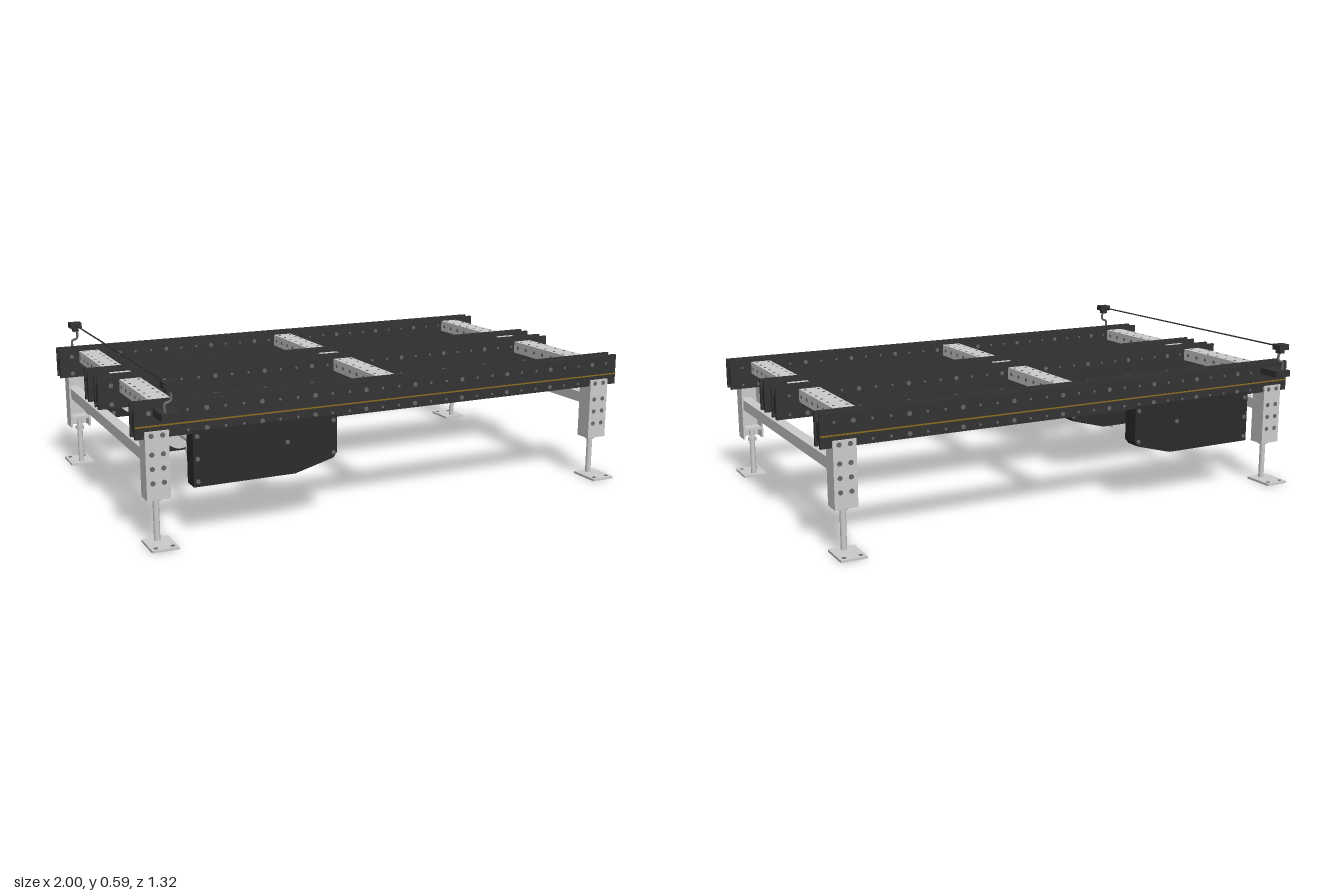
import * as THREE from 'three';
import { mergeGeometries } from 'three/addons/utils/BufferGeometryUtils.js';
import { RoundedBoxGeometry } from 'three/addons/geometries/RoundedBoxGeometry.js';

const mat = (color) => new THREE.MeshStandardMaterial({ color });
const grey = mat(0xcccccc), black = mat(0x333333), guardBlack = mat(0x2b2b2b);
const chainGrey = mat(0x707070), red = mat(0xe03522), yellow = mat(0x8a6a1c), hole = mat(0x666666);

// Box given by its min and max on each axis
const span = (x0, x1, y0, y1, z0, z1) =>
  new THREE.BoxGeometry(x1 - x0, y1 - y0, z1 - z0).translate((x0 + x1) / 2, (y0 + y1) / 2, (z0 + z1) / 2);

// Cylinder along an axis, centred on a point
function rod(axis, r, len, x, y, z, sides = 32) {
  const g = new THREE.CylinderGeometry(r, r, len, sides);
  if (axis === 'x') g.rotateZ(Math.PI / 2);
  if (axis === 'z') g.rotateX(Math.PI / 2);
  return g.translate(x, y, z);
}

function add(parent, name, geometry, material) {
  const g = Array.isArray(geometry) ? mergeGeometries(geometry) : geometry;
  const mesh = new THREE.Mesh(g, material);
  mesh.name = name;
  parent.add(mesh);
  return mesh;
}

function group(parent, name) {
  const g = new THREE.Group();
  g.name = name;
  parent.add(g);
  return g;
}

const RAILS = [-0.538, -0.07, 0.07, 0.538];
const HALF = 0.03; // half width of a rail
const SHAFT = { x: -0.705, y: 0.275 };

function rail(parent, z, outward) {
  const g = group(parent, 'rail');
  // Side plates joined by a web, leaving a chain groove above and below
  const parts = [-1, 1].map((s) => span(-1, 1, 0.38, 0.5, z + s * 0.024 - 0.006, z + s * 0.024 + 0.006));
  parts.push(span(-0.995, 0.995, 0.4, 0.465, z - 0.019, z + 0.019));
  add(g, 'railProfile', parts, black);
  add(g, 'chain', span(-0.99, 0.99, 0.465, 0.487, z - 0.014, z + 0.014), chainGrey);
  // Bolt rows on both sides
  const bolts = [];
  for (const s of [-1, 1]) {
    for (let i = 0; i < 29; i++) {
      const x = -0.95 + i * (1.9 / 28);
      const r = i % 3 === 0 ? 0.009 : 0.005;
      bolts.push(rod('z', r, 0.004, x, 0.467, z + s * HALF, 8));
      bolts.push(rod('z', r, 0.004, x, 0.396, z + s * HALF, 8));
    }
  }
  add(g, 'railBolts', bolts, hole);
  if (outward) {
    const zo = z + outward * HALF;
    add(g, 'edgeStrip', span(-1, 1, 0.42, 0.425, zo - 0.002, zo + 0.002), yellow);
  }
}

function driveGuard(parent, z) {
  const g = group(parent, 'driveGuard');
  const outline = [[-0.8, 0.39], [-0.8, 0.19], [-0.42, 0.19], [-0.27, 0.23], [-0.255, 0.25], [-0.255, 0.39]];
  const shape = new THREE.Shape(outline.map(([x, y]) => new THREE.Vector2(x, y)));
  const depth = 2 * HALF + 0.006;
  const geo = new THREE.ExtrudeGeometry(shape, { depth, bevelEnabled: false });
  add(g, 'guardCase', geo.translate(0, 0, z - depth / 2), guardBlack);
  const bolts = [];
  for (const [x, y] of [[-0.785, 0.37], [-0.785, 0.29], [-0.785, 0.21], [-0.45, 0.31], [-0.27, 0.37], [-0.27, 0.25]]) {
    bolts.push(rod('z', 0.008, depth + 0.008, x, y, z, 10));
  }
  add(g, 'guardBolts', bolts, hole);
}

function leg(parent, x, s) {
  const g = group(parent, 'leg');
  const zi = 0.507, zo = 0.57;
  const wall = 0.007, w = 0.042;
  // Channel open towards the middle, with a taller outer plate
  add(g, 'legChannel', [
    span(-w, -w + wall, 0.165, 0.38, zi, zo),
    span(w - wall, w, 0.165, 0.38, zi, zo),
    span(-w, w, 0.165, 0.405, zo - 0.002, zo + 0.004),
    span(-w + wall, w - wall, 0.165, 0.38, zo - wall, zo - 0.002),
    span(-w + wall, w - wall, 0.2, 0.21, zi, zo - wall),
  ], grey);
  const dots = [];
  for (const dx of [-0.02, 0.02]) {
    for (const y of [0.225, 0.275, 0.325, 0.39]) dots.push(rod('z', 0.009, 0.002, dx, y, zo + 0.004, 12));
  }
  add(g, 'legHoles', dots, hole);
  add(g, 'footSpindle', rod('y', 0.011, 0.2, 0, 0.105, 0.533, 20), grey);
  add(g, 'footNut', rod('y', 0.018, 0.014, 0, 0.158, 0.533, 6), grey);
  add(g, 'footPlate', span(-0.048, 0.048, 0, 0.009, 0.505, 0.632), grey);
  add(g, 'footHoles', [-0.03, 0.03].map((dx) => rod('y', 0.008, 0.002, dx, 0.009, 0.612, 12)), hole);
  g.position.x = x;
  if (s < 0) g.rotation.y = Math.PI;
}

function crossBeam(parent, x) {
  const g = group(parent, 'crossBeam');
  const beams = [], dots = [];
  for (let i = 0; i < 3; i++) {
    const z0 = RAILS[i] + HALF, z1 = RAILS[i + 1] - HALF;
    beams.push(span(x - 0.04, x + 0.04, 0.44, 0.488, z0, z1));
    const n = i === 1 ? 1 : 7;
    for (let k = 0; k < n; k++) {
      const z = z0 + ((k + 0.5) / n) * (z1 - z0);
      dots.push(rod('x', 0.007, 0.083, x, 0.464, z, 10));
      for (const dx of [-0.025, 0.025]) dots.push(rod('y', 0.005, 0.051, x + dx, 0.464, z, 10));
    }
  }
  add(g, 'beam', beams, grey);
  add(g, 'beamHoles', dots, hole);
}

function driveShaft(parent) {
  const g = group(parent, 'driveShaft');
  const { x, y } = SHAFT;
  add(g, 'shaft', rod('z', 0.016, 1.0, x, y, -0.02), grey);
  const hubs = [[0.1, 0.148], [-0.148, -0.1], [0.4, 0.445], [-0.465, -0.505]];
  add(g, 'bearingHubs', hubs.map(([a, b]) => rod('z', 0.065, Math.abs(b - a), x, y, (a + b) / 2, 40)), grey);
  add(g, 'coupling', rod('z', 0.05, 0.042, x, y, 0, 40), grey);
}

function motor(parent) {
  const g = group(parent, 'gearMotor');
  const y = 0.285, z = 0.393;
  add(g, 'motorBody', new RoundedBoxGeometry(0.15, 0.135, 0.128, 4, 0.03).translate(-0.41, y, z), red);
  add(g, 'endCover', new RoundedBoxGeometry(0.06, 0.115, 0.11, 4, 0.025).translate(-0.318, y, z), red);
  add(g, 'neck', rod('x', 0.037, 0.05, -0.49, y, z), red);
  // Finned housing along x
  const fins = [rod('x', 0.042, 0.09, -0.55, y, z)];
  for (let i = 0; i < 16; i++) {
    const fin = new THREE.BoxGeometry(0.09, 0.012, 0.006).translate(0, 0.043, 0);
    fins.push(fin.rotateX((i * Math.PI) / 8).translate(-0.55, y, z));
  }
  add(g, 'finnedHousing', fins, red);
  add(g, 'housingFlange', rod('x', 0.05, 0.012, -0.503, y, z), red);
  add(g, 'terminalNeck', span(-0.425, -0.345, 0.25, 0.33, 0.31, 0.34), red);
  add(g, 'terminalBox', new RoundedBoxGeometry(0.105, 0.11, 0.042, 3, 0.01).translate(-0.387, 0.29, 0.3), red);
  add(g, 'outputFlange', rod('z', 0.05, 0.03, -0.42, y, 0.445), red);
}

function sensorBar(parent) {
  const g = group(parent, 'lightBarrier');
  for (const s of [-1, 1]) {
    const b = group(g, 'sensorMount');
    add(b, 'bracket', span(-0.035, 0.035, 0.457, 0.482, 0.568, 0.662), black);
    // Cranked post
    const pts = [[-0.015, 0.48], [-0.015, 0.51], [0.005, 0.52], [0.008, 0.535], [0, 0.565]];
    const path = new THREE.CatmullRomCurve3(pts.map(([x, y]) => new THREE.Vector3(x, y, 0.637)));
    add(b, 'post', new THREE.TubeGeometry(path, 24, 0.005, 8), hole);
    add(b, 'head', span(-0.024, 0.024, 0.565, 0.587, 0.617, 0.66), black);
    add(b, 'headClamp', span(-0.012, 0.012, 0.55, 0.567, 0.624, 0.648), black);
    b.position.x = -0.9;
    if (s < 0) b.scale.z = -1;
  }
  add(g, 'beamLine', rod('z', 0.003, 1.25, -0.9, 0.577, 0, 8), black);
}

export function createModel() {
  const model = new THREE.Group();
  model.name = 'chainConveyor';
  RAILS.forEach((z, i) => {
    rail(model, z, i === 0 ? -1 : i === 3 ? 1 : 0);
    driveGuard(model, z);
  });
  for (const x of [-0.878, 0, 0.872]) crossBeam(model, x);
  // Legs and the low tie between each pair
  for (const x of [-0.926, 0.917]) {
    for (const s of [-1, 1]) leg(model, x, s);
    const c = x < 0 ? -0.94 : 0.932;
    add(model, 'legTie', span(c - 0.021, c + 0.021, 0.29, 0.332, -0.56, 0.56), grey);
  }
  // Chain case between the motor and the shaft
  add(model, 'motorChainCase', span(-0.78, -0.43, 0.19, 0.413, 0.445, 0.51), guardBlack);
  driveShaft(model);
  motor(model);
  sensorBar(model);
  return model;
}
